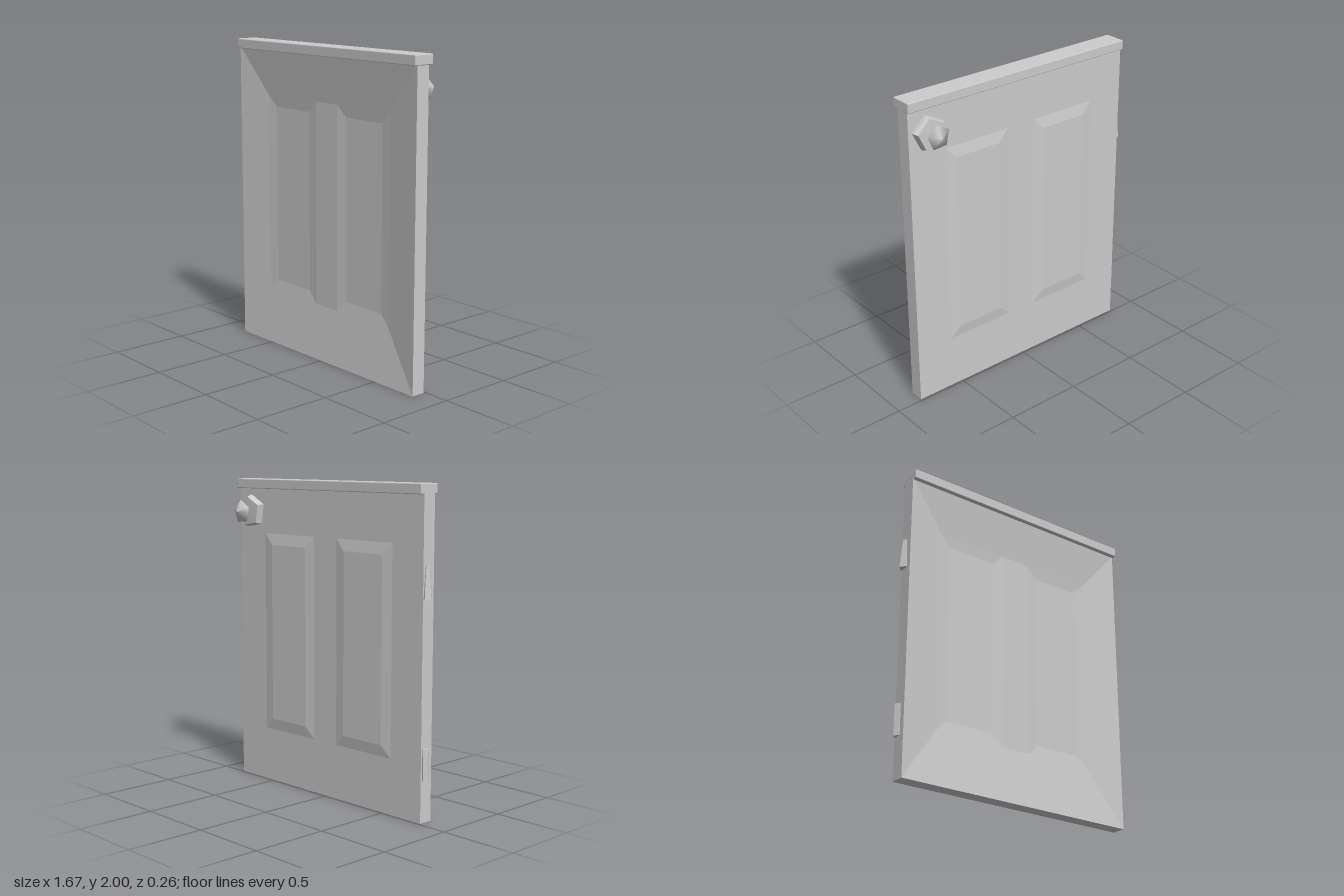
import * as THREE from 'three';
import { RoundedBoxGeometry } from 'three/addons/geometries/RoundedBoxGeometry.js';

const BACK = 0.012, FRONT = 0.103, DISH = 0.066;
const Y0 = 0.35, Y1 = 1.65, BEVEL = 0.073;
const PANELS = [[-0.56, -0.09], [0.11, 0.575]];

const material = new THREE.MeshStandardMaterial({ color: 0xcccccc });
const flat = new THREE.MeshStandardMaterial({ color: 0xcccccc, flatShading: true });

function add(parent, name, geometry, mat = material) {
  const mesh = new THREE.Mesh(geometry, mat);
  mesh.name = name;
  parent.add(mesh);
  return mesh;
}

// Bevelled panel: an outer rectangle at z = 0 sloping to an inner one at z = depth
function panelGeometry(x0, x1, depth) {
  const loop = (inset, z) => [
    [x0 + inset, Y0 + inset, z], [x1 - inset, Y0 + inset, z],
    [x1 - inset, Y1 - inset, z], [x0 + inset, Y1 - inset, z],
  ];
  const points = [...loop(0, 0), ...loop(BEVEL, depth)];
  const index = [4, 5, 6, 4, 6, 7];
  for (let i = 0; i < 4; i++) {
    const j = (i + 1) % 4;
    index.push(i, j, j + 4, i, j + 4, i + 4);
  }
  const g = new THREE.BufferGeometry();
  g.setAttribute('position', new THREE.Float32BufferAttribute(points.flat(), 3));
  g.setIndex(index);
  g.computeVertexNormals();
  return g;
}

// Slab with two openings; its front face dips gently from the rim to the openings
function slabGeometry() {
  const rect = (S, x0, x1, y0, y1) => {
    const s = new S();
    s.moveTo(x0, y0).lineTo(x1, y0).lineTo(x1, y1).lineTo(x0, y1).closePath();
    return s;
  };
  const outline = rect(THREE.Shape, -0.805, 0.825, 0, 1.95);
  for (const [x0, x1] of PANELS) outline.holes.push(rect(THREE.Path, x0, x1, Y0, Y1));
  const g = new THREE.ExtrudeGeometry(outline, { depth: FRONT - BACK, bevelEnabled: false });
  g.translate(0, 0, BACK);
  const p = g.attributes.position;
  for (let i = 0; i < p.count; i++) {
    if (p.getZ(i) > DISH && Math.abs(p.getX(i)) < 0.7) p.setZ(i, DISH);
  }
  g.computeVertexNormals();
  return g;
}

export function createModel() {
  const door = new THREE.Group();
  door.name = 'halfDoor';
  add(door, 'slab', slabGeometry());

  // Panels: sunk on the front, slightly raised on the back
  for (const [x0, x1] of PANELS) {
    add(door, 'frontPanel', panelGeometry(x0, x1, -0.008), flat).position.z = DISH;
    const back = add(door, 'backPanel', panelGeometry(-x1, -x0, 0.011), flat);
    back.rotation.y = Math.PI;
    back.position.z = BACK;
  }

  // Ledge along the top
  const ledge = add(door, 'topLedge', new RoundedBoxGeometry(1.638, 0.062, 0.143, 1, 0.006));
  ledge.position.set(0.016, 1.969, 0.0585);

  // Knob on the back, turned about the z axis
  const knob = new THREE.Group();
  knob.name = 'knob';
  knob.position.set(0.69, 1.787, BACK);
  knob.rotation.x = -Math.PI / 2;
  door.add(knob);
  const profile = (pairs) => pairs.map(([r, h]) => new THREE.Vector2(r, h));
  add(knob, 'knobPlate', new THREE.LatheGeometry(
    profile([[0.11, 0], [0.108, 0.02], [0.098, 0.044], [0, 0.047]]), 5, 0.15), flat);
  add(knob, 'knobHandle', new THREE.LatheGeometry(
    profile([[0, 0.047], [0.078, 0.105], [0, 0.142]]), 5, 0.1));

  // Hinge barrels on the side edge, the upper one tapered
  for (const [y, top, bottom] of [[1.43, 0.016, 0.034], [0.355, 0.026, 0.026]]) {
    const hinge = add(door, 'hinge', new THREE.CylinderGeometry(top, bottom, 0.195, 5), flat);
    hinge.position.set(-0.806, y, 0.045);
    hinge.rotation.y = -Math.PI / 2;
  }
  return door;
}
